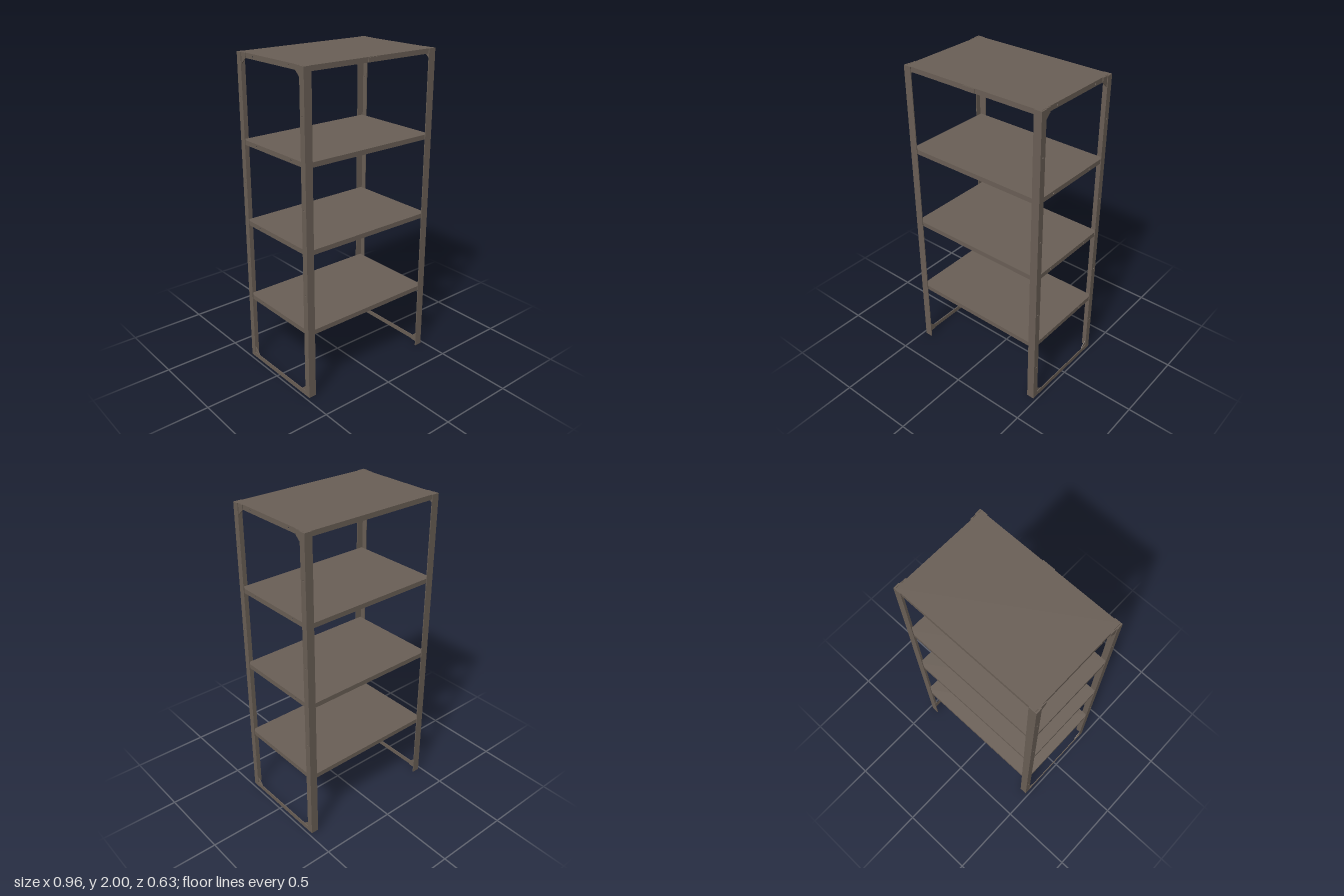
import * as THREE from 'three';

const X = 0.48, Z = 0.313, H = 2;     // outer half width, half depth, height
const T = 0.005;                      // sheet thickness
const SX = 0.469, SZ = Z - T;         // shelf half sizes
const LIP = 0.03;                     // shelf edge height
const shelfTops = [0.455, 0.97, 1.485, H];

export function createModel() {
  const steel = new THREE.MeshStandardMaterial({ color: 0x6a5f56 });
  steel.name = 'brown steel';
  const model = new THREE.Group();
  model.name = 'shelvingUnit';

  const add = (parent, name, geometry) => {
    const mesh = new THREE.Mesh(geometry, steel);
    mesh.name = name;
    parent.add(mesh);
    return mesh;
  };
  const box = (parent, name, x0, x1, y0, y1, z0, z1) =>
    add(parent, name, new THREE.BoxGeometry(x1 - x0, y1 - y0, z1 - z0)
      .translate((x0 + x1) / 2, (y0 + y1) / 2, (z0 + z1) / 2));

  // Upright plate cut in the z-y plane; its outer face lies at |x| = outer
  const sidePlate = (parent, name, side, outer, points, holes = []) => {
    const shape = new THREE.Shape(points.map(([z, y]) => new THREE.Vector2(z, y)));
    for (const [z, y] of holes) {
      const hole = new THREE.Path();
      hole.absarc(z, y, 0.005, 0, Math.PI * 2, true);
      shape.holes.push(hole);
    }
    const geometry = new THREE.ExtrudeGeometry(shape, { depth: T, bevelEnabled: false, curveSegments: 6 });
    geometry.rotateY(-Math.PI / 2).translate(side > 0 ? outer : -outer + T, 0, 0);
    return add(parent, name, geometry);
  };
  const rect = (z0, z1, y0, y1) => [[z0, y0], [z1, y0], [z1, y1], [z0, y1]];

  // Side frames: angle posts, foot rail and corner gussets
  for (const sx of [-1, 1]) {
    const frame = new THREE.Group();
    frame.name = sx > 0 ? 'leftFrame' : 'rightFrame';
    model.add(frame);
    for (const sz of [-1, 1]) {
      const xs = [sx * 0.43, sx * X].sort((a, b) => a - b);
      const zs = [sz * SZ, sz * Z].sort((a, b) => a - b);
      box(frame, 'postFace', xs[0], xs[1], 0, H, zs[0], zs[1]);

      const fl = [sz * 0.274, sz * SZ].sort((a, b) => a - b);
      sidePlate(frame, 'postFlange', sx, X, rect(fl[0], fl[1], 0, H),
        [0.26, 0.69, 1.215, 1.74].map(y => [sz * 0.293, y]));

      const corner = [[SZ, 0], [SZ, 0.065], [0.274, 0.065], [0.235, 0.03], [0.235, 0]];
      sidePlate(frame, 'bottomGusset', sx, X - T, corner.map(([z, y]) => [sz * z, y]));
      sidePlate(frame, 'topGusset', sx, X - T, corner.map(([z, y]) => [sz * z, H - y]));
    }
    sidePlate(frame, 'footRail', sx, X, rect(-0.274, 0.274, 0, 0.03));
  }

  // Shelves: folded trays, open underneath
  for (const top of shelfTops) {
    const shelf = new THREE.Group();
    shelf.name = 'shelf';
    model.add(shelf);
    const low = top - LIP;
    box(shelf, 'shelfTop', -SX, SX, top - T, top, -SZ, SZ);
    box(shelf, 'frontLip', -SX, SX, low, top - T, SZ - T, SZ);
    box(shelf, 'backLip', -SX, SX, low, top - T, -SZ, -SZ + T);
    for (const sx of [-1, 1]) {
      sidePlate(shelf, 'sideLip', sx, SX, rect(-SZ + T, SZ - T, low, top - T),
        [-0.17, 0.17].map(z => [z, top - LIP / 2]));
    }
  }

  // Small blank plate on the front edge of the top shelf
  box(model, 'frontPlate', -0.04, 0.04, H - 0.028, H - 0.002, SZ, Z);
  return model;
}
